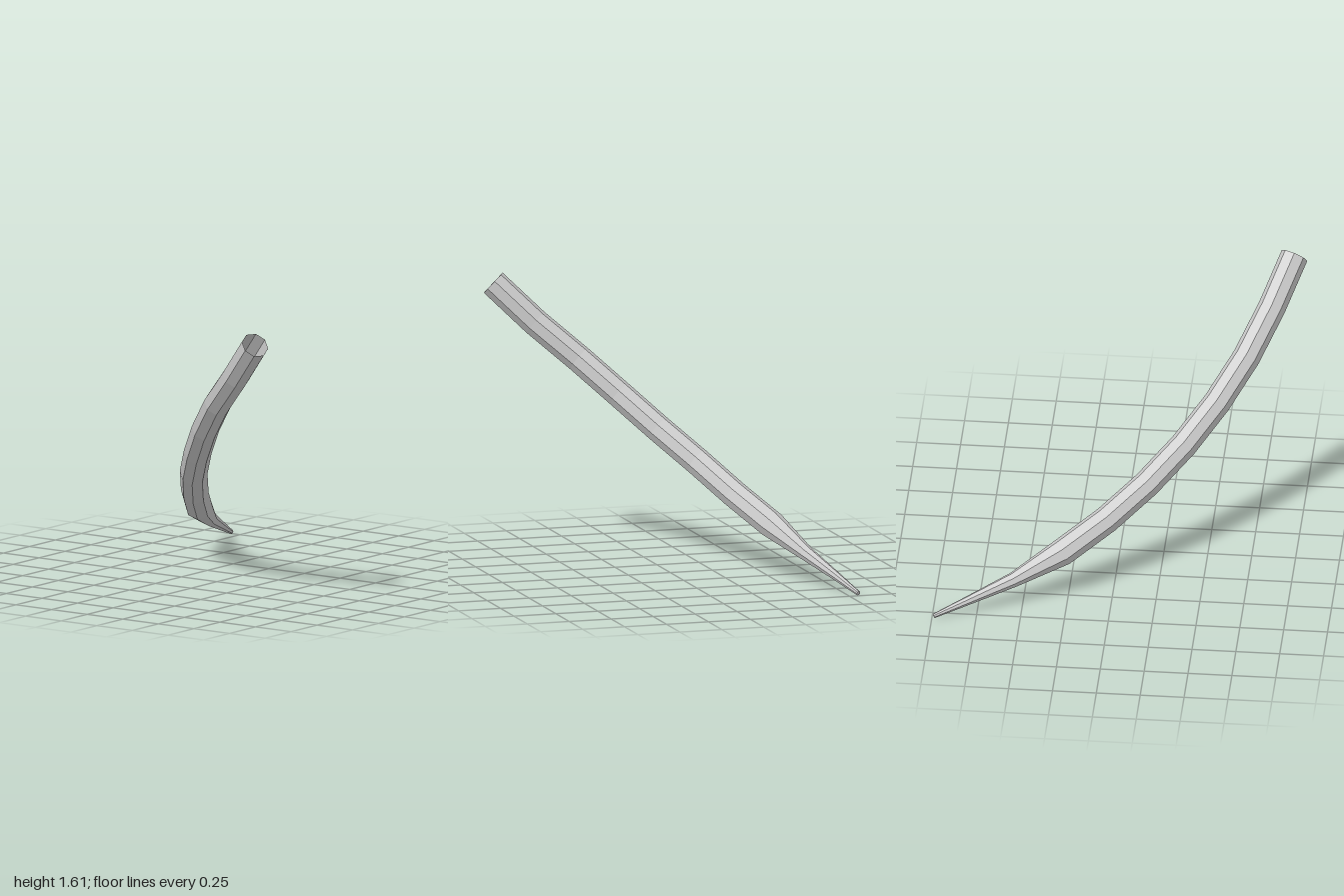
import * as THREE from 'three';

// Centre line from the thick open end to the tip: x, y, z, radius
const RINGS = [
  [0.76, 1.555, 0.925, 0.079],
  [0.545, 1.335, 0.815, 0.079],
  [0.325, 1.135, 0.69, 0.079],
  [0.13, 0.945, 0.54, 0.079],
  [-0.05, 0.765, 0.367, 0.079],
  [-0.22, 0.6, 0.173, 0.079],
  [-0.37, 0.443, -0.043, 0.079],
  [-0.515, 0.302, -0.283, 0.079],
  [-0.635, 0.177, -0.55, 0.043],
  [-0.737, 0.082, -0.81, 0.025],
  [-0.805, 0.016, -0.99, 0.013],
];
const SIDES = 8;

// Eight-sided rings swept square to the curve, all sharing the curve's plane normal
function hornGeometry() {
  const centres = RINGS.map(([x, y, z]) => new THREE.Vector3(x, y, z));
  const last = centres.length - 1;
  const planeNormal = new THREE.Vector3(0.73, -0.67, -0.05).normalize();
  const positions = [];
  const index = [];

  centres.forEach((centre, i) => {
    const tangent = centres[Math.min(i + 1, last)].clone()
      .sub(centres[Math.max(i - 1, 0)]).normalize();
    const inPlane = tangent.clone().cross(planeNormal).normalize();
    const across = inPlane.clone().cross(tangent);
    for (let j = 0; j < SIDES; j++) {
      const angle = (j / SIDES) * Math.PI * 2;
      const point = centre.clone()
        .addScaledVector(across, Math.cos(angle) * RINGS[i][3])
        .addScaledVector(inPlane, Math.sin(angle) * RINGS[i][3]);
      positions.push(point.x, point.y, point.z);
    }
  });

  // Walls
  for (let i = 0; i < last; i++) {
    for (let j = 0; j < SIDES; j++) {
      const a = i * SIDES + j;
      const b = i * SIDES + (j + 1) % SIDES;
      index.push(a, b, a + SIDES, b, b + SIDES, a + SIDES);
    }
  }
  // Small blunt tip
  const tip = last * SIDES;
  for (let j = 1; j < SIDES - 1; j++) index.push(tip, tip + j, tip + j + 1);

  const geometry = new THREE.BufferGeometry();
  geometry.setAttribute('position', new THREE.Float32BufferAttribute(positions, 3));
  geometry.setIndex(index);
  const flat = geometry.toNonIndexed();
  flat.computeVertexNormals();
  return flat;
}

export function createModel() {
  const group = new THREE.Group();
  group.name = 'curvedHorn';
  const material = new THREE.MeshStandardMaterial({
    color: 0xcccccc, flatShading: true, side: THREE.DoubleSide,
  });
  const horn = new THREE.Mesh(hornGeometry(), material);
  horn.name = 'horn';
  group.add(horn);
  return group;
}
